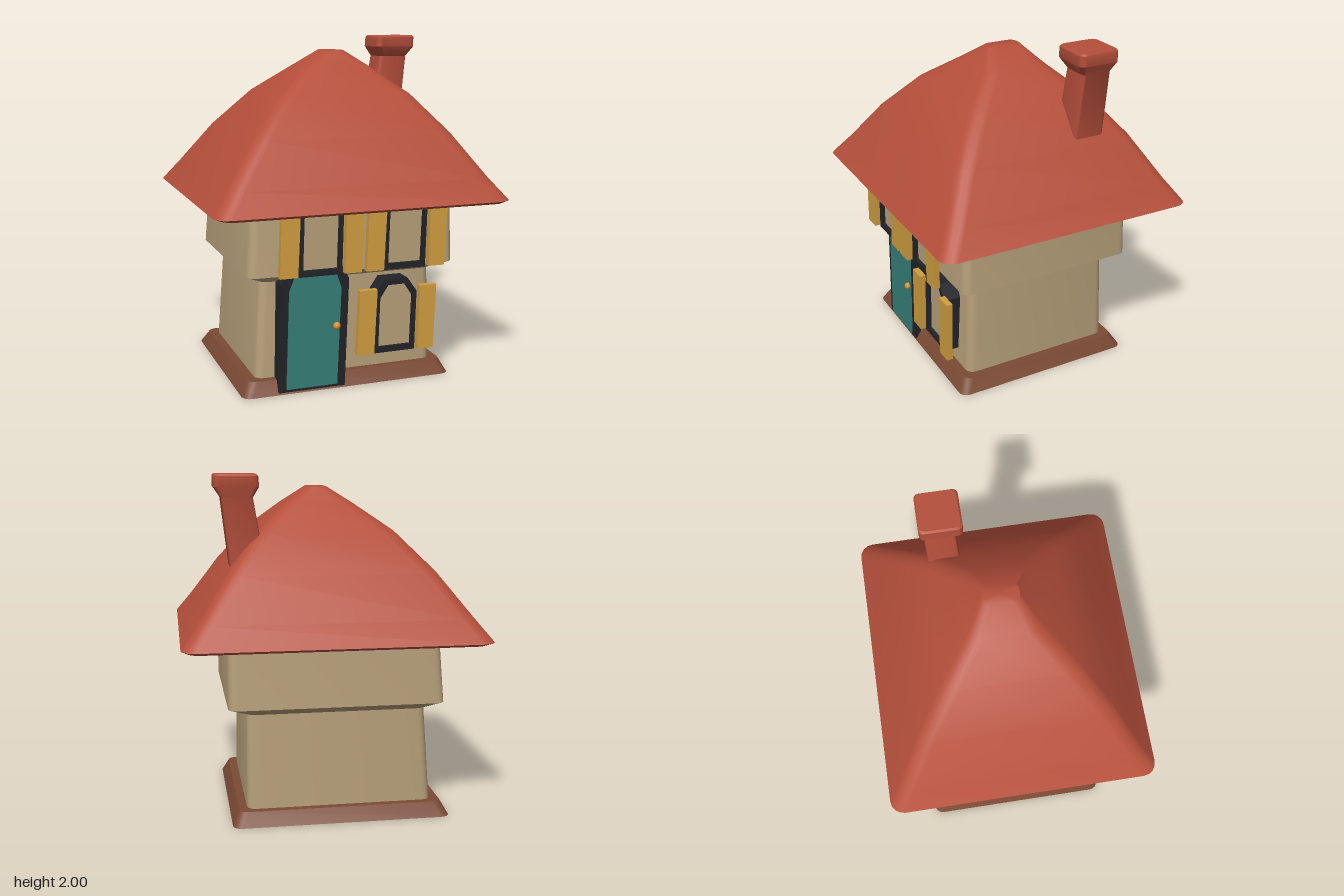
import * as THREE from 'three';
import { toCreasedNormals } from 'three/addons/utils/BufferGeometryUtils.js';

const mat = (name, color) => {
  const m = new THREE.MeshStandardMaterial({ color });
  m.name = name;
  return m;
};

// Rounded-rectangle outline at one height: [y, xMin, xMax, zMin, zMax, cornerRadius]
function ring([y, x0, x1, z0, z1, r]) {
  const pts = [];
  const corners = [[x1 - r, z1 - r], [x0 + r, z1 - r], [x0 + r, z0 + r], [x1 - r, z0 + r]];
  corners.forEach(([cx, cz], c) => {
    for (let k = 0; k <= 4; k++) {
      const a = (c + k / 4) * Math.PI / 2;
      pts.push([cx + r * Math.cos(a), y, cz + r * Math.sin(a)]);
    }
  });
  return pts;
}

// Skin through successive outlines, optionally capped at both ends
function loft(sections, capBottom = true, capTop = true) {
  const rings = sections.map(ring);
  const n = rings[0].length;
  const pos = [];
  const tri = (a, b, c) => pos.push(...a, ...b, ...c);
  for (let j = 0; j < rings.length - 1; j++) {
    for (let i = 0; i < n; i++) {
      const k = (i + 1) % n, lo = rings[j], hi = rings[j + 1];
      tri(lo[i], hi[i], hi[k]);
      tri(lo[i], hi[k], lo[k]);
    }
  }
  const cap = (r, s, up) => {
    const c = [(s[1] + s[2]) / 2, s[0], (s[3] + s[4]) / 2];
    for (let i = 0; i < n; i++) {
      const k = (i + 1) % n;
      if (up) tri(c, r[k], r[i]);
      else tri(c, r[i], r[k]);
    }
  };
  if (capBottom) cap(rings[0], sections[0], false);
  if (capTop) cap(rings[rings.length - 1], sections[sections.length - 1], true);
  const g = new THREE.BufferGeometry();
  g.setAttribute('position', new THREE.Float32BufferAttribute(pos, 3));
  return toCreasedNormals(g, 0.6);
}

// Flat outline in x/y given thickness from z0 to z1, with an optional opening
function slab(outline, z0, z1, hole) {
  const v = (list) => list.map(([x, y]) => new THREE.Vector2(x, y));
  const shape = new THREE.Shape(v(outline));
  if (hole) shape.holes.push(new THREE.Path(v(hole)));
  const g = new THREE.ExtrudeGeometry(shape, { depth: z1 - z0, bevelEnabled: false });
  return g.translate(0, 0, z0);
}

export function createModel() {
  const house = new THREE.Group();
  house.name = 'house';
  const red = mat('roof red', 0xb54f3b);
  const tan = mat('plaster tan', 0xb8a17b);
  const brown = mat('base brown', 0x7b4a34);
  const black = mat('frame black', 0x222429);
  const teal = mat('door teal', 0x37807a);
  const gold = mat('shutter yellow', 0xd29f40);
  const orange = mat('knob orange', 0xd6902c);

  const add = (name, geometry, material, parent = house) => {
    const m = new THREE.Mesh(geometry, material);
    m.name = name;
    parent.add(m);
    return m;
  };

  // Sloped skirting around the foot
  add('base', loft([
    [0, -0.645, 0.555, -0.52, 0.525, 0.04],
    [0, -0.685, 0.595, -0.56, 0.565, 0.05],
    [0.08, -0.64, 0.555, -0.51, 0.52, 0.05],
    [0.08, -0.57, 0.485, -0.445, 0.455, 0.04],
  ], false, false), brown);

  // Walls with floor, ground storey and overhanging upper storey
  add('walls', loft([
    [0, -0.645, 0.555, -0.52, 0.525, 0.04],
    [0.02, -0.59, 0.505, -0.468, 0.48, 0.05],
    [0.08, -0.588, 0.505, -0.467, 0.478, 0.05],
    [0.64, -0.55, 0.5, -0.45, 0.458, 0.05],
    [0.69, -0.645, 0.61, -0.54, 0.55, 0.05],
    [1.13, -0.612, 0.608, -0.523, 0.53, 0.05],
  ]), tan);

  // Bell-curved hip roof with a hollow eave
  add('roof', loft([
    [1.12, -0.74, 0.74, -0.66, 0.68, 0.05],
    [1.06, -0.79, 0.79, -0.71, 0.72, 0.06],
    [1.06, -0.83, 0.835, -0.745, 0.76, 0.07],
    [1.077, -0.873, 0.869, -0.775, 0.788, 0.08],
    [1.204, -0.775, 0.773, -0.69, 0.697, 0.08],
    [1.45, -0.59, 0.603, -0.543, 0.55, 0.08],
    [1.67, -0.382, 0.42, -0.365, 0.373, 0.08],
    [1.82, -0.175, 0.24, -0.195, 0.196, 0.07],
    [1.92, -0.02, 0.09, -0.1, 0.106, 0.04],
  ]), red);

  // Leaning chimney with a flared head
  add('chimney', loft([
    [1.46, 0.37, 0.572, -0.355, -0.165, 0.02],
    [1.87, 0.44, 0.62, -0.358, -0.18, 0.02],
    [1.93, 0.405, 0.66, -0.383, -0.14, 0.03],
    [1.99, 0.41, 0.66, -0.383, -0.14, 0.03],
    [2.0, 0.42, 0.655, -0.375, -0.15, 0.03],
  ]), red);

  // Crooked front door
  const door = new THREE.Group();
  door.name = 'door';
  house.add(door);
  const doorInner = [[-0.435, 0.03], [-0.13, 0.03], [-0.105, 0.6], [-0.16, 0.77], [-0.345, 0.77], [-0.415, 0.6]];
  add('doorFrame', slab(
    [[-0.48, 0.012], [-0.08, 0.012], [-0.055, 0.65], [-0.15, 0.83], [-0.37, 0.83], [-0.46, 0.64]],
    0.45, 0.567, doorInner), black, door);
  add('doorPanel', slab(doorInner, 0.46, 0.577), teal, door);
  add('doorKnob', new THREE.SphereGeometry(0.022, 16, 12), orange, door).position.set(-0.135, 0.38, 0.582);

  // Crooked windows with arched frames and a pair of shutters
  const outer = [[0.09, 0.18], [0.36, 0.18], [0.37, 0.535], [0.31, 0.62], [0.165, 0.62], [0.105, 0.535]];
  const inner = [[0.13, 0.215], [0.335, 0.215], [0.345, 0.51], [0.295, 0.585], [0.19, 0.585], [0.14, 0.51]];
  const shutters = [
    [[-0.015, 0.19], [0.09, 0.19], [0.108, 0.575], [0, 0.575]],
    [[0.365, 0.19], [0.465, 0.19], [0.48, 0.575], [0.375, 0.575]],
  ];
  const windows = [
    ['groundWindow', 0, 0, 0, 0.455],
    ['upperWindowRight', -0.487, 0.52, 0.08, 0.53],
    ['upperWindowLeft', 0.022, 0.52, 0.08, 0.53],
  ];
  for (const [name, x, y, z, back] of windows) {
    const w = new THREE.Group();
    w.name = name;
    w.position.set(x, y, z);
    house.add(w);
    add('windowFrame', slab(outer, back, 0.565, inner), black, w);
    add('windowPane', slab(inner, back + 0.005, 0.545), tan, w);
    shutters.forEach((s, i) => add(i ? 'shutterLeft' : 'shutterRight', slab(s, 0.563, 0.6), gold, w));
  }
  return house;
}
